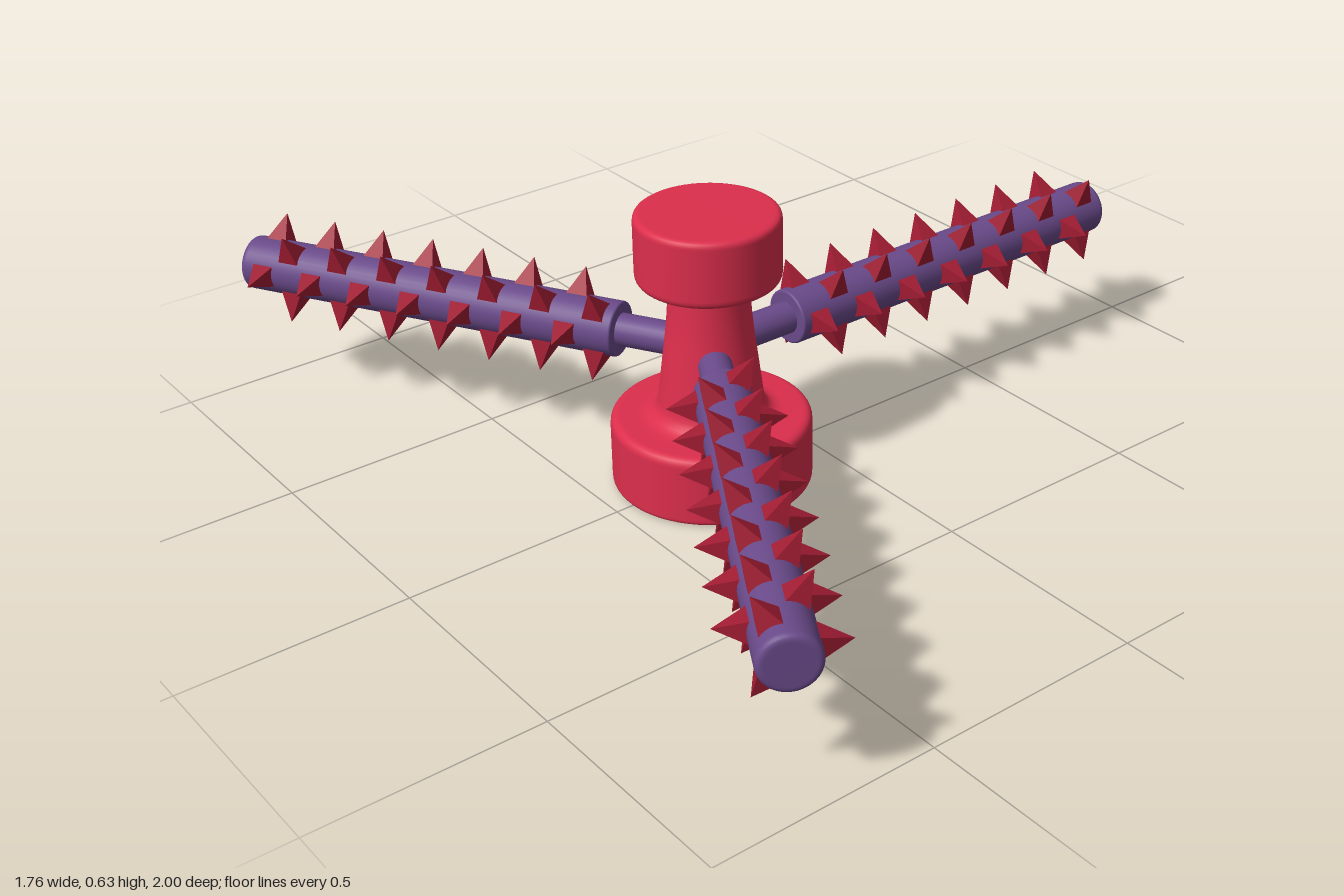
import * as THREE from 'three';

const material = (name, color) => {
  const m = new THREE.MeshStandardMaterial({ color });
  m.name = name;
  return m;
};

// Lathe with rounded corners: each point is [radius, height, corner rounding]
function roundedLathe(points, segments) {
  const path = new THREE.Path();
  const p = points.map(([r, y]) => new THREE.Vector2(r, y));
  path.moveTo(p[0].x, p[0].y);
  for (let i = 1; i < p.length - 1; i++) {
    const round = points[i][2];
    const a = p[i].clone().add(p[i - 1].clone().sub(p[i]).setLength(round));
    const b = p[i].clone().add(p[i + 1].clone().sub(p[i]).setLength(round));
    path.lineTo(a.x, a.y);
    path.quadraticCurveTo(p[i].x, p[i].y, b.x, b.y);
  }
  path.lineTo(p[p.length - 1].x, p[p.length - 1].y);
  return new THREE.LatheGeometry(path.getPoints(6), segments);
}

export function createModel() {
  const model = new THREE.Group();
  model.name = 'spikedSpinner';
  const red = material('bodyRed', 0xdc2e4c);
  const purple = material('armPurple', 0x6a4a8a);
  const darkRed = material('spikeDarkRed', 0xa01c32);

  const hub = new THREE.Group();
  hub.name = 'hub';
  hub.position.x = -0.247;
  model.add(hub);

  // Spool-shaped post with a wide base and a cap
  const post = new THREE.Mesh(roundedLathe([
    [0, 0], [0.217, 0, 0.012], [0.217, 0.157, 0.022], [0.118, 0.157, 0.04],
    [0.088, 0.4, 0.06], [0.086, 0.475, 0.03], [0.155, 0.475, 0.02],
    [0.155, 0.626, 0.016], [0, 0.626],
  ], 64), red);
  post.name = 'post';
  hub.add(post);

  // Shared arm parts, lying along +x
  const rodGeo = new THREE.CylinderGeometry(0.036, 0.036, 0.18, 24).rotateZ(-Math.PI / 2);
  const barGeo = roundedLathe([
    [0, 0.207], [0.061, 0.207, 0.006], [0.061, 1.127, 0.015], [0, 1.127],
  ], 32).rotateZ(-Math.PI / 2);
  // Four-sided spike pointing along +z, its base sunk into the bar
  const spikeGeo = new THREE.ConeGeometry(0.039, 0.073, 4, 1)
    .rotateY(Math.PI / 4).rotateX(Math.PI / 2).translate(0, 0, 0.0835).toNonIndexed();
  spikeGeo.computeVertexNormals();

  for (let k = 0; k < 3; k++) {
    const arm = new THREE.Group();
    arm.name = 'arm' + (k + 1);
    arm.position.y = 0.314;
    arm.rotation.y = (k * Math.PI * 2) / 3;
    hub.add(arm);

    const rod = new THREE.Mesh(rodGeo, purple);
    rod.name = 'innerRod';
    rod.position.x = 0.13;
    const bar = new THREE.Mesh(barGeo, purple);
    bar.name = 'bar';
    arm.add(rod, bar);

    // Staggered rings of three spikes
    for (let ring = 0; ring < 14; ring++) {
      for (let s = 0; s < 3; s++) {
        const spike = new THREE.Mesh(spikeGeo, darkRed);
        spike.name = 'spike';
        spike.position.x = 0.252 + ring * 0.0627;
        spike.rotation.x = (s * 2 + (ring % 2)) * Math.PI / 3;
        arm.add(spike);
      }
    }
  }
  return model;
}
